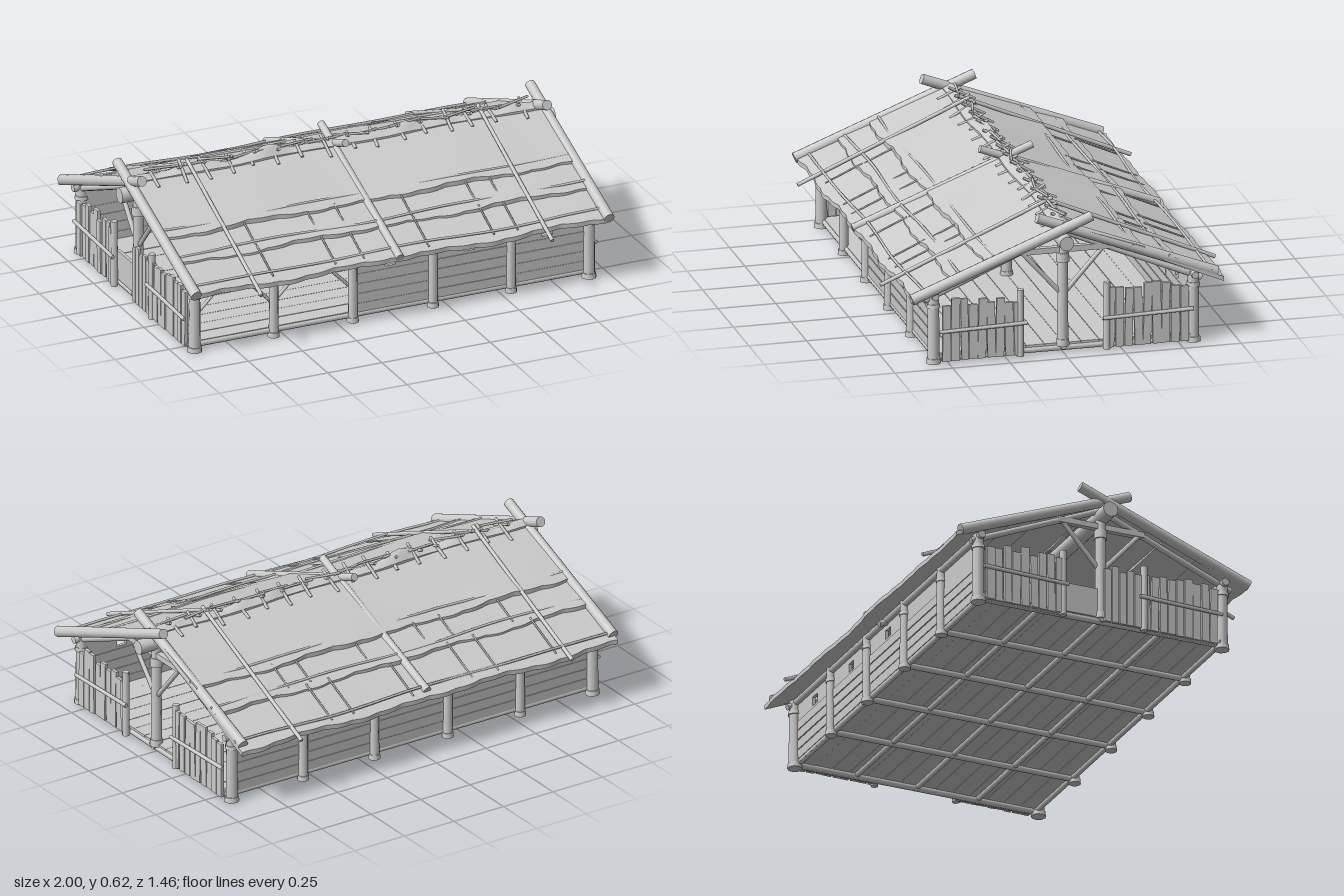
import * as THREE from 'three';

const mat = new THREE.MeshStandardMaterial({ color: 0xcccccc });
const roofY = z => 0.565 - 0.425 * Math.abs(z);

export function createModel() {
  const model = new THREE.Group();
  let seed = 7;
  const rand = (a, b) => {
    seed = (seed * 16807) % 2147483647;
    return a + (b - a) * seed / 2147483647;
  };
  const group = (name, parent = model) => {
    const g = new THREE.Group();
    g.name = name;
    parent.add(g);
    return g;
  };
  const add = (parent, name, geo) => {
    const m = new THREE.Mesh(geo, mat);
    m.name = name;
    parent.add(m);
    return m;
  };
  // round timber between two points, slightly tapered
  const pole = (parent, name, a, b, r, sides = 9) => {
    const p = new THREE.Vector3(...a), q = new THREE.Vector3(...b);
    const d = q.clone().sub(p);
    const m = add(parent, name, new THREE.CylinderGeometry(r * 0.92, r, d.length(), sides));
    m.position.copy(p).add(q).multiplyScalar(0.5);
    m.quaternion.setFromUnitVectors(new THREE.Vector3(0, 1, 0), d.normalize());
    return m;
  };
  const box = (parent, name, w, h, d, x, y, z) => {
    const m = add(parent, name, new THREE.BoxGeometry(w, h, d));
    m.position.set(x, y, z);
    return m;
  };
  const postX = [-0.91, -0.545, -0.18, 0.19, 0.55, 0.91];

  // raised floor: planks over a grid of joists
  const floor = group('floor');
  for (let i = 0; i < 14; i++)
    box(floor, 'floorPlank', 1.83, 0.012, 0.077, 0, 0.036 + rand(-0.001, 0.001), -0.513 + i * 0.079);
  for (const x of postX) pole(floor, 'crossJoist', [x, 0.02, -0.56], [x, 0.02, 0.56], 0.014);
  for (const z of [-0.55, -0.28, 0, 0.28, 0.55])
    pole(floor, 'longJoist', [-0.93, 0.026, z], [0.93, 0.026, z], 0.013);

  // side posts with wider feet, and the plates they carry
  const frame = group('frame');
  for (const z of [-0.565, 0.56]) {
    for (const x of postX) {
      const r = Math.abs(x) > 0.9 ? 0.026 : 0.021;
      pole(frame, 'sidePost', [x, 0.005, z], [x, 0.31, z], r);
      pole(frame, 'postFoot', [x, 0, z], [x, 0.022, z], r * 1.25);
      pole(frame, 'postCollar', [x, 0.245, z], [x, 0.262, z], r * 1.15);
    }
    pole(frame, 'wallPlate', [-0.95, 0.3, z], [0.95, 0.3, z], 0.017);
  }

  // boarded walls; bays 2 to 4 have a small window
  const walls = group('walls');
  const wallBay = (i, z) => {
    const w = postX[i + 1] - postX[i], xm = (postX[i] + postX[i + 1]) / 2;
    const s = new THREE.Shape();
    s.moveTo(-w / 2, 0.02).lineTo(w / 2, 0.02).lineTo(w / 2, 0.295).lineTo(-w / 2, 0.295);
    if (i > 1) {
      const h = new THREE.Path(), c = -0.01;
      h.moveTo(c - 0.024, 0.222).lineTo(c - 0.024, 0.262).lineTo(c + 0.024, 0.262).lineTo(c + 0.024, 0.222);
      s.holes.push(h);
    }
    add(walls, 'wallPanel', new THREE.ExtrudeGeometry(s, { depth: 0.014, bevelEnabled: false }))
      .position.set(xm, 0, z - 0.007);
    // raised boards below window height
    for (let k = 0; k < 4; k++)
      box(walls, 'wallBoard', w, 0.04, 0.018 + rand(0, 0.004), xm, 0.055 + k * 0.045, z);
  };
  for (let i = 0; i < 5; i++) wallBay(i, -0.553);
  for (let i = 2; i < 5; i++) wallBay(i, 0.548);
  // braces in the open front bays
  for (const [x, s] of [[-0.91, 1], [-0.545, -1], [-0.545, 1], [-0.18, -1]])
    pole(frame, 'bayBrace', [x, 0.15, 0.55], [x + s * 0.14, 0.29, 0.55], 0.008, 7);

  // end palisades with rails, leaving a doorway in the middle
  const stakeRun = (x, z0, z1, s) => {
    const run = group('palisade');
    const n = 9, step = (z1 - z0) / n;
    for (let i = 0; i < n; i++) {
      const h = rand(0.235, 0.275), z = z0 + (i + 0.5) * step;
      const stake = box(run, 'stake', 0.014, h, step * rand(0.8, 0.96), x + rand(-0.004, 0.004), 0.012 + h / 2, z);
      stake.rotation.x = rand(-0.025, 0.025);
    }
    pole(run, 'palisadeRail', [x + s * 0.015, 0.155, z0 - 0.015], [x + s * 0.015, 0.145, z1 + 0.015], 0.009, 7);
    pole(run, 'sillRail', [x - s * 0.012, 0.02, z0], [x - s * 0.012, 0.02, z1], 0.012, 7);
  };
  for (const s of [-1, 1]) {
    stakeRun(s * 0.935, 0.18, 0.53, s);
    stakeRun(s * 0.935, -0.54, -0.18, s);
    for (const z of [-0.185, 0.19])
      pole(frame, 'doorPost', [s * 0.935, 0.005, z], [s * 0.935, 0.3, z], 0.016);
  }
  // low board and a few loose stakes closing part of the far end
  box(walls, 'lowEndBoard', 0.014, 0.13, 0.37, -0.915, 0.1, 0);
  for (let i = 0; i < 5; i++) {
    const h = rand(0.23, 0.27);
    box(walls, 'looseStake', 0.012, h, 0.03, -0.935, h / 2 + 0.015, 0.16 - i * 0.035);
  }

  // king post trusses
  for (const x of [-0.91, 0, 0.91]) {
    const truss = group('truss');
    pole(truss, 'kingPost', [x, 0.03, 0], [x, 0.5, 0], 0.024);
    pole(truss, 'kingPostFoot', [x, 0.03, 0], [x, 0.06, 0], 0.029);
    pole(truss, 'kingPostCollar', [x, 0.4, 0], [x, 0.44, 0], 0.029);
    box(truss, 'collarBeam', 0.025, 0.025, 0.4, x, 0.455, 0);
    for (const s of [-1, 1]) {
      pole(truss, 'trussBrace', [x, 0.27, s * 0.015], [x, 0.45, s * 0.175], 0.011, 7);
      pole(truss, 'innerRafter', [x, roofY(0.6) - 0.032, s * 0.6], [x, roofY(0) - 0.032, 0], 0.014);
    }
  }

  // thatch: overlapping tiers on both slopes, with wavy lower edges
  const roof = group('roof');
  const tier = (z0, z1, lift, phase, side) => {
    const geo = new THREE.BoxGeometry(1.9, 1, 1, 96, 1, 6);
    const p = geo.attributes.position;
    for (let i = 0; i < p.count; i++) {
      const x = p.getX(i), t = p.getZ(i) + 0.5, top = p.getY(i) > 0;
      const wave = 0.006 * Math.sin(x * 13 + phase) + 0.006 * Math.abs(Math.sin(x * 24 + phase * 2));
      const z = z0 + (z1 - z0) * t + wave * t * t;
      const sag = 0.005 * Math.sin(x * 7 + phase) * t;
      p.setXYZ(i, x - 0.008 * side, roofY(z) + lift * t + sag + (top ? 0.004 + 0.008 * t : -0.008), z);
    }
    geo.computeVertexNormals();
    if (side < 0) geo.rotateY(Math.PI);
    add(roof, 'thatchTier', geo);
  };
  for (const side of [1, -1]) {
    const eave = side > 0 ? 0.65 : 0.685;
    tier(0.43, eave, 0, 1 + side, side);
    tier(0.28, 0.485, 0.007, 2.3 + side, side);
    tier(0, 0.345, 0.012, 4.1 + side, side);
    // battens tied along each tier
    for (const z of [0.305, 0.45, eave - 0.04]) {
      const pts = [];
      for (let k = 0; k <= 12; k++)
        pts.push(new THREE.Vector3(-0.945 + k * 0.1575, roofY(z) + 0.018 + 0.004 * Math.sin(k * 1.3 + z * 9),
          side * (z + 0.007 * Math.sin(k * 0.9 + z * 20))));
      add(roof, 'batten', new THREE.TubeGeometry(new THREE.CatmullRomCurve3(pts), 48, 0.006, 6));
    }
    // short laths between battens
    const lath = (x, a, b) =>
      pole(roof, 'lath', [x, roofY(a) + 0.017, side * a], [x, roofY(b) + 0.013, side * b], 0.004, 6);
    for (const x of [-0.58, -0.29, -0.16, 0.14, 0.44, 0.55]) {
      lath(x, 0.33, 0.46);
      lath(x + 0.04 * side - 0.04, 0.47, eave - 0.02);
    }
    // heavy rafters crossing at the ridge, and thin poles between them
    for (const x of [-0.95, -0.01, side > 0 ? 0.955 : 0.92])
      pole(roof, 'gableRafter', [x, 0.3, side * 0.665], [x - side * 0.004, 0.604, side * -0.115], x < -0.5 || x > 0.5 ? 0.024 : 0.018, 12);
    for (const x of [side > 0 ? -0.677 : -0.702, 0.665])
      pole(roof, 'roofPole', [x, roofY(0.725) + 0.02, side * 0.725], [x, 0.6, side * -0.02], 0.009, 8);
    // pegs pinning the ridge
    for (let k = 0; k < 16; k++) {
      const x = -0.84 + k * 0.112 + rand(-0.015, 0.015), z = rand(0.05, 0.085);
      pole(roof, 'ridgePeg', [x, roofY(z) + 0.008, side * z], [x + rand(-0.01, 0.01), rand(0.585, 0.605), side * -0.03], 0.007, 6);
    }
  }

  // ridge pole and the uneven thatch cap along it
  pole(roof, 'ridgePole', [-1, 0.505, 0.005], [1, 0.505, 0.005], 0.034, 12);
  const cap = new THREE.BoxGeometry(1.88, 0.024, 0.07, 90, 1, 4);
  const cp = cap.attributes.position;
  for (let i = 0; i < cp.count; i++) {
    const x = cp.getX(i), z = cp.getZ(i);
    const hump = 0.026 * (Math.exp(-(((x + 0.33) / 0.06) ** 2)) + Math.exp(-(((x - 0.3) / 0.06) ** 2)));
    const peak = 1 - Math.abs(z) / 0.04;
    cp.setY(i, cp.getY(i) + 0.568 - 0.5 * Math.abs(z) + peak * (hump + 0.007 * Math.sin(x * 17) + 0.004 * Math.sin(x * 41)));
    cp.setZ(i, z + 0.006 * Math.sin(x * 9));
  }
  cap.computeVertexNormals();
  add(roof, 'ridgeCap', cap);
  // thin sticks lying along the ridge
  for (let k = 0; k < 14; k++) {
    const x = -0.88 + k * 0.125, z = rand(-0.02, 0.02);
    pole(roof, 'ridgeStick', [x, 0.585 + rand(-0.008, 0.01), z], [x + 0.15, 0.59 + rand(-0.01, 0.012), -z], 0.006, 6);
  }
  return model;
}
